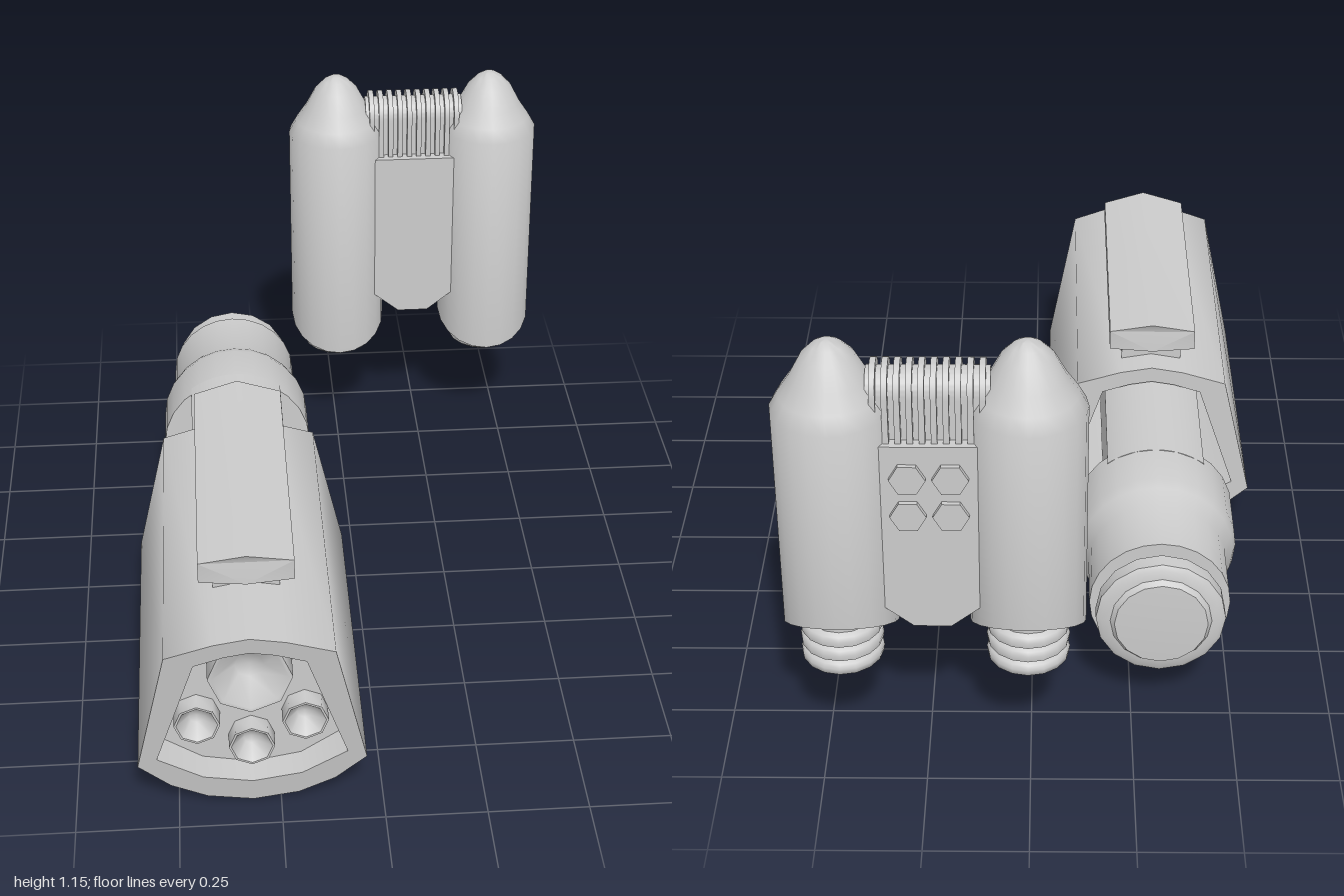
import * as THREE from 'three';
import { toCreasedNormals } from 'three/addons/utils/BufferGeometryUtils.js';

const material = new THREE.MeshStandardMaterial({ color: 0xcccccc });
const vec = (pts) => pts.map(([x, y]) => new THREE.Vector2(x, y));

function add(parent, name, geometry, x = 0, y = 0, z = 0, crease = 0.6) {
  const mesh = new THREE.Mesh(toCreasedNormals(geometry, crease), material);
  mesh.name = name;
  mesh.position.set(x, y, z);
  parent.add(mesh);
  return mesh;
}

const lathe = (pts, sides) => new THREE.LatheGeometry(vec(pts), sides);
const extrude = (shape, depth) =>
  new THREE.ExtrudeGeometry(shape, { depth, bevelEnabled: false, curveSegments: 12 });

// Closed outline mirrored about x = 0; half runs from bottom centre to top centre
function mirrored(half) {
  const left = half.slice(1, -1).reverse().map(([x, y]) => [-x, y]);
  return vec([...half, ...left]);
}

function editVertices(geometry, rule) {
  const p = geometry.attributes.position;
  const v = new THREE.Vector3();
  for (let i = 0; i < p.count; i++) {
    rule(v.fromBufferAttribute(p, i));
    p.setXYZ(i, v.x, v.y, v.z);
  }
  return geometry;
}

function createLamp() {
  const lamp = new THREE.Group();
  lamp.name = 'lampUnit';
  lamp.position.x = -0.318;

  // Open shell with a slanted front rim
  const outer = [[0, 0.003], [0.112, 0.022], [0.2, 0.067], [0.277, 0.14],
    [0.2, 0.508], [0.085, 0.546], [0, 0.562]];
  const inner = [[0, 0.07], [0.12, 0.092], [0.23, 0.163], [0.132, 0.48], [0.06, 0.505], [0, 0.516]];
  const shellShape = new THREE.Shape(mirrored(outer));
  shellShape.holes.push(new THREE.Path(mirrored(inner)));
  const shell = editVertices(extrude(shellShape, 1), (v) => {
    if (v.z > 0.5) v.z = 0.91 + 0.16 * v.y;
    else {
      v.z = 0.025;
      v.y = 0.3 + (v.y - 0.3) * 0.92 + 0.01;
      // thinner wall at the rear opening
    }
  });
  add(lamp, 'housing', shell, 0, 0, 0, 1.2);

  // Face plate and conical reflectors
  add(lamp, 'facePlate', extrude(new THREE.Shape(mirrored(inner)), 0.03), 0, 0, 0.82);
  const reflector = (r, d) =>
    lathe([[r, 0], [r, d], [r * 0.9, d], [r * 0.35, d * 0.25], [0, d * 0.15]], 8).rotateX(Math.PI / 2);
  add(lamp, 'mainReflector', reflector(0.102, 0.07), 0, 0.385, 0.85, 0.9);
  for (const [x, y] of [[-0.131, 0.232], [0.131, 0.232], [0, 0.16]])
    add(lamp, 'smallReflector', reflector(0.056, 0.05), x, y, 0.85, 0.9);

  // Barrel neck with flat sides
  const r = 0.205;
  const a = Math.acos(0.125 / r);
  const neck = new THREE.Shape();
  neck.absarc(0, 0, r, a, Math.PI - a, false);
  neck.absarc(0, 0, r, Math.PI + a, 2 * Math.PI - a, false);
  add(lamp, 'barrelNeck', extrude(neck, 1.02), 0, 0.295, -0.3);

  // Round barrel stepping down towards the rear
  const barrel = lathe([[0, 0.27], [r, 0.27], [r, 0.43], [0.196, 0.46], [0.175, 0.505],
    [0.175, 0.675], [0, 0.675]], 24).rotateX(-Math.PI / 2);
  add(lamp, 'barrel', barrel, 0, 0.295, 0);
  const cap = lathe([[0.137, 0.66], [0.137, 0.69], [0.16, 0.7], [0.16, 0.74], [0.148, 0.748],
    [0.125, 0.752], [0.115, 0.766], [0, 0.772]], 16).rotateX(-Math.PI / 2);
  add(lamp, 'endCap', cap, 0, 0.295, 0);

  // Rail on top
  add(lamp, 'railStem', new THREE.BoxGeometry(0.16, 0.07, 0.67), 0, 0.566, 0.435);
  const railShape = new THREE.Shape(mirrored([[0, 0.597], [0.114, 0.597], [0.114, 0.65], [0, 0.677]]));
  const rail = editVertices(extrude(railShape, 0.8), (v) => {
    // ends bow outwards towards the centre line
    const inset = 0.015 * Math.abs(v.x) / 0.114;
    v.z += v.z > 0.4 ? -inset : inset;
  });
  add(lamp, 'rail', rail, 0, 0, 0.035);
  return lamp;
}

function createPack() {
  const pack = new THREE.Group();
  pack.name = 'thrusterPack';
  pack.position.set(0.229, 0, -0.862);

  // Tanks with rounded noses and slanted open bottoms
  const R = 0.138;
  const tankProfile = [[0, 0.56], [0.118, 0.56], [0.118, 0.383], [R, 0.383], [R, 0.985],
    [0.117, 1.022], [0.09, 1.062], [0.062, 1.115], [0.036, 1.142], [0.016, 1.154], [0, 1.157]];

  // Ringed nozzle, open below
  const nozzleProfile = [[0, 0.36], [0.055, 0.35], [0.065, 0.285], [0.085, 0.28]];
  for (let i = 0; i < 3; i++) {
    const y = 0.29 + i * 0.04;
    nozzleProfile.push([0.098, y], [0.1, y + 0.015], [0.095, y + 0.026], [0.083, y + 0.033]);
  }
  nozzleProfile.push([0.083, 0.56]);

  for (const side of [-1, 1]) {
    const x = side * 0.223;
    const tank = editVertices(lathe(tankProfile, 20), (v) => {
      if (v.y < 0.5) v.y -= 0.52 * v.z;
    });
    add(pack, 'tank', tank, x, 0, 0, 0.7);
    add(pack, 'nozzle', lathe(nozzleProfile, 16), x, 0, 0, 0.9);
  }

  // Centre plate with chamfered foot
  const plate = new THREE.Shape(mirrored([[0, 0.423], [0.044, 0.423], [0.116, 0.48],
    [0.116, 0.923], [0, 0.923]]));
  add(pack, 'centrePlate', extrude(plate, 0.165), 0, 0, -0.08);

  // Hexagonal studs on the back
  for (const x of [-0.049, 0.049])
    for (const y of [0.74, 0.84]) {
      const stud = new THREE.CylinderGeometry(0.042, 0.042, 0.03, 6).rotateY(Math.PI / 6).rotateX(Math.PI / 2);
      add(pack, 'stud', stud, x, y, -0.077);
    }

  // Ribbed bridge: rounded slabs side by side on a smaller core
  const slab = (r, width) => {
    const s = new THREE.Shape();
    s.moveTo(-r, 0.9);
    s.lineTo(r, 0.9);
    s.absarc(0, 1.035, r, 0, Math.PI, false);
    return extrude(s, width).translate(0, 0, -width / 2).rotateY(Math.PI / 2);
  };
  add(pack, 'bridgeCore', slab(0.049, 0.28));
  for (let i = 0; i < 10; i++) add(pack, 'bridgeRib', slab(0.066, 0.014), (i - 4.5) * 0.0273);
  return pack;
}

export function createModel() {
  const model = new THREE.Group();
  model.name = 'lampAndThrusterPack';
  model.add(createLamp(), createPack());
  return model;
}
